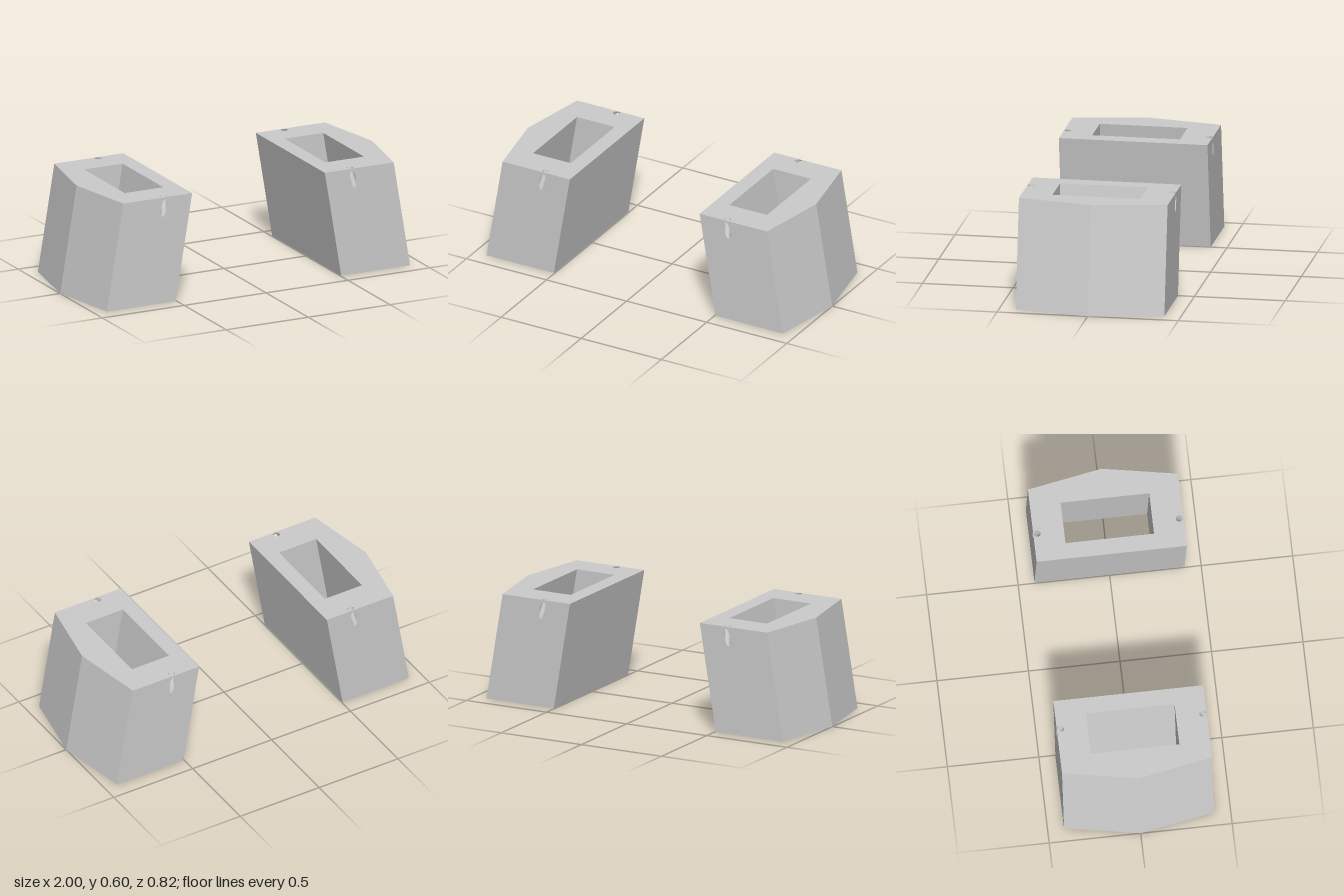
import * as THREE from 'three';
import { mergeGeometries } from 'three/addons/utils/BufferGeometryUtils.js';

const H = 0.6, D = 0.41;                 // block height, half depth
const INNER = 0.405, OUTER = 0.825, RIDGE = 0.9; // x positions on the top face
const WIN = { x0: 0.495, x1: 0.73, z: 0.242 };   // through window
const HOLE = { x: 0.567, z: 0.388, r: 0.018, slope: 0.06 / 0.022 }; // slanted drill hole
const SEG = 32;

const shapeOf = (pts) => new THREE.Shape(pts.map(([x, y]) => new THREE.Vector2(x, y)));
const pathOf = (pts) => new THREE.Path(pts.map(([x, y]) => new THREE.Vector2(x, y)));
const ellipse = (x, y, rx, ry) => Array.from({ length: SEG }, (_, i) => {
  const a = (i / SEG) * Math.PI * 2;
  return [x + rx * Math.sin(a), y + ry * Math.cos(a)];
});

// Vertical wall following a line of [x, z] points
function wall(points) {
  const pos = [];
  for (let i = 0; i < points.length - 1; i++) {
    const [[ax, az], [bx, bz]] = [points[i], points[i + 1]];
    pos.push(ax, 0, az, bx, 0, bz, bx, H, bz, ax, 0, az, bx, H, bz, ax, H, az);
  }
  const g = new THREE.BufferGeometry();
  g.setAttribute('position', new THREE.Float32BufferAttribute(pos, 3));
  return g;
}

// Horizontal face with the window and optional drill holes
function cap(top) {
  const s = shapeOf([[INNER, -D], [OUTER, -D], [RIDGE, 0], [OUTER, D], [INNER, D]]);
  s.holes.push(pathOf([[WIN.x0, -WIN.z], [WIN.x0, WIN.z], [WIN.x1, WIN.z], [WIN.x1, -WIN.z]]));
  if (top) for (const k of [1, -1]) s.holes.push(pathOf(ellipse(HOLE.x, k * HOLE.z, HOLE.r, HOLE.r)));
  const g = new THREE.ShapeGeometry(s).rotateX(top ? -Math.PI / 2 : Math.PI / 2);
  return g.translate(0, top ? H : 0, 0);
}

// Front (k = 1) or back (k = -1) face with the mouth of the drill hole
function endFace(k) {
  const s = shapeOf([[INNER, 0], [OUTER, 0], [OUTER, H], [INNER, H]]);
  const y = H - (D - HOLE.z) * HOLE.slope;
  s.holes.push(pathOf(ellipse(HOLE.x, y, HOLE.r, HOLE.r * HOLE.slope)));
  const g = new THREE.ShapeGeometry(s).translate(0, 0, D);
  if (k < 0) {
    g.scale(1, 1, -1);
    g.setIndex(Array.from(g.index.array).reverse());
  }
  return g;
}

// Lining of a drill hole, cut off by the top face and the end face
function tunnel(k) {
  const g = new THREE.CylinderGeometry(HOLE.r, HOLE.r, 1, SEG, 1, true);
  const p = g.attributes.position;
  for (let i = 0; i < p.count; i++) {
    const z = HOLE.z + p.getZ(i);
    const upper = p.getY(i) > 0;
    p.setXYZ(i, HOLE.x + p.getX(i), upper ? H : H - (D - z) * HOLE.slope, k * (upper ? z : D));
  }
  if (k < 0) g.setIndex(Array.from(g.index.array).reverse());
  return g;
}

// Lean the block inwards towards the top
const lean = new THREE.Matrix4().set(1, -1 / 6, 0, 0.1, 0, 1, 0, 0, 0, 0, 1, 0, 0, 0, 0, 1);
function finish(g) {
  g.applyMatrix4(lean);
  g.computeVertexNormals();
  return g;
}

function flatMerge(parts) {
  return mergeGeometries(parts.map((part) => {
    const g = part.index ? part.toNonIndexed() : part;
    g.deleteAttribute('uv');
    g.deleteAttribute('normal');
    return g;
  }));
}

function makeBlock(name) {
  const block = new THREE.Group();
  block.name = name;
  const add = (part, geometry, side) => {
    const mesh = new THREE.Mesh(finish(geometry), new THREE.MeshStandardMaterial({ color: 0xcccccc, side }));
    mesh.name = part;
    block.add(mesh);
  };
  const { x0, x1, z } = WIN;
  add('blockShell', flatMerge([
    wall([[OUTER, D], [RIDGE, 0], [OUTER, -D]]),
    wall([[INNER, -D], [INNER, D]]),
    endFace(1), endFace(-1), cap(true), cap(false),
  ]), THREE.FrontSide);
  add('windowWalls', flatMerge([wall([[x0, z], [x0, -z], [x1, -z], [x1, z], [x0, z]])]), THREE.FrontSide);
  add('frontDrillHole', tunnel(1), THREE.DoubleSide);
  add('backDrillHole', tunnel(-1), THREE.DoubleSide);
  return block;
}

export function createModel() {
  const model = new THREE.Group();
  model.name = 'pairOfLeaningBlocks';
  const left = makeBlock('leftBlock');
  const right = makeBlock('rightBlock');
  right.rotation.y = Math.PI; // the block is symmetric front to back
  model.add(left, right);
  return model;
}
